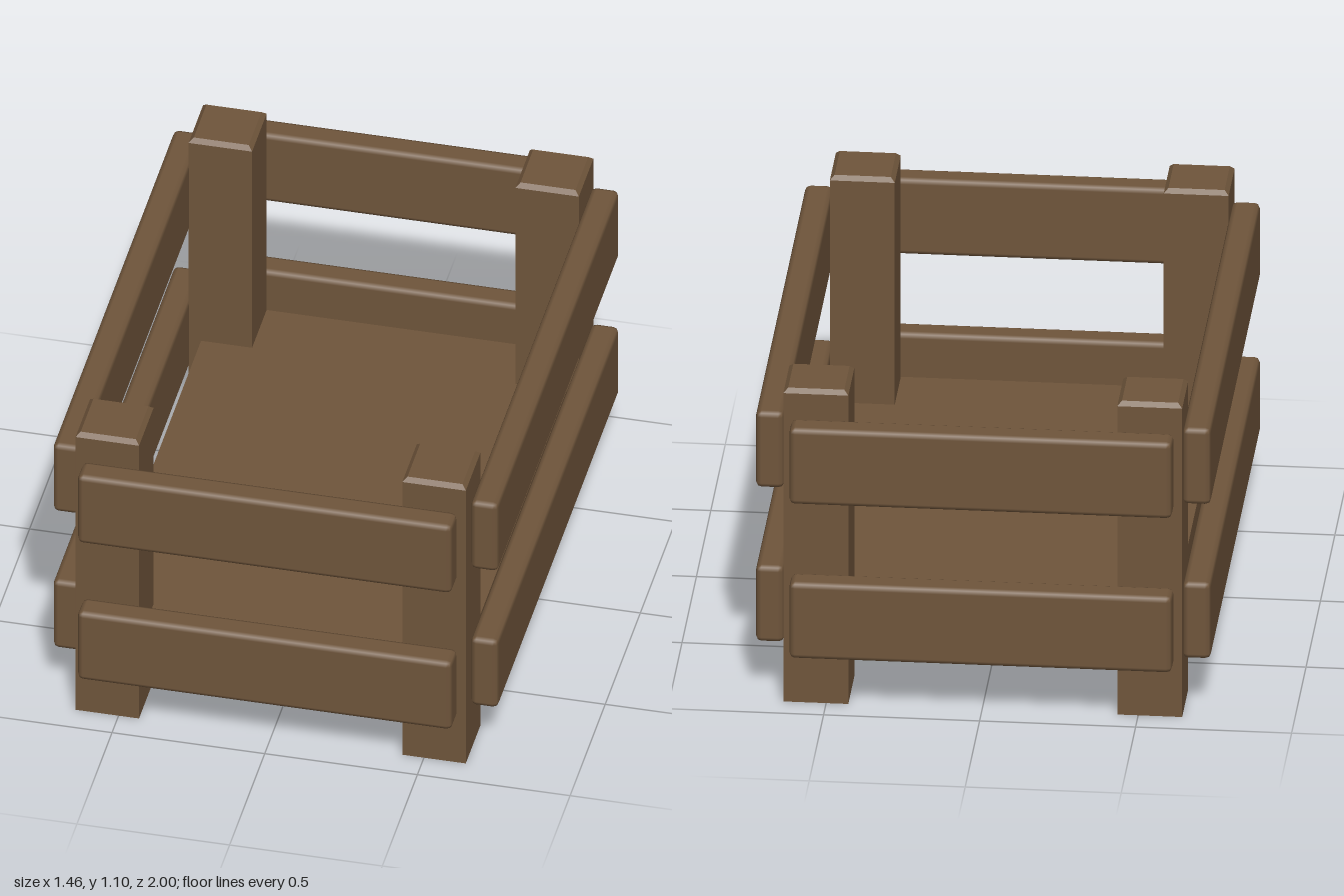
import * as THREE from 'three';
import { RoundedBoxGeometry } from 'three/addons/geometries/RoundedBoxGeometry.js';

export function createModel() {
  const crate = new THREE.Group();
  crate.name = 'slattedCrate';
  // Double-sided because the posts are open underneath
  const wood = new THREE.MeshStandardMaterial({ color: 0x6f553b, side: THREE.DoubleSide });
  wood.name = 'brown wood';

  const add = (name, geometry, x, y, z) => {
    const mesh = new THREE.Mesh(geometry, wood);
    mesh.name = name;
    mesh.position.set(x, y, z);
    crate.add(mesh);
  };

  // Square corner posts: hollow, open at the foot, chamfered around the top
  const half = 0.104, height = 1.1, bevel = 0.014;
  const profile = [[half, 0], [half, height - bevel], [half - bevel, height], [0, height]]
    .map(([r, y]) => new THREE.Vector2(r * Math.SQRT2, y));
  const post = new THREE.LatheGeometry(profile, 4).rotateY(Math.PI / 4).toNonIndexed();
  post.computeVertexNormals();
  for (const sx of [-1, 1]) {
    for (const sz of [-1, 1]) {
      const name = (sz > 0 ? 'front' : 'back') + (sx > 0 ? 'Left' : 'Right') + 'Post';
      add(name, post, sx * 0.535 - 0.002, 0, sz * 0.805 - 0.002);
    }
  }

  // Two rows of softly bevelled planks on all four sides
  const endPlank = new RoundedBoxGeometry(1.226, 0.268, 0.09, 1, 0.018);
  const sidePlank = new RoundedBoxGeometry(0.09, 0.268, 1.734, 1, 0.018);
  for (const [row, y] of [['lower', 0.324], ['upper', 0.867]]) {
    for (const s of [-1, 1]) {
      add(row + (s > 0 ? 'Front' : 'Back') + 'Plank', endPlank, -0.002, y, s * 0.955);
      add(row + (s > 0 ? 'Left' : 'Right') + 'Plank', sidePlank, s * 0.684, y, -0.015);
    }
  }

  // Floor panel
  add('floor', new THREE.BoxGeometry(1.196, 0.09, 1.82), -0.002, 0.26, 0);
  return crate;
}
